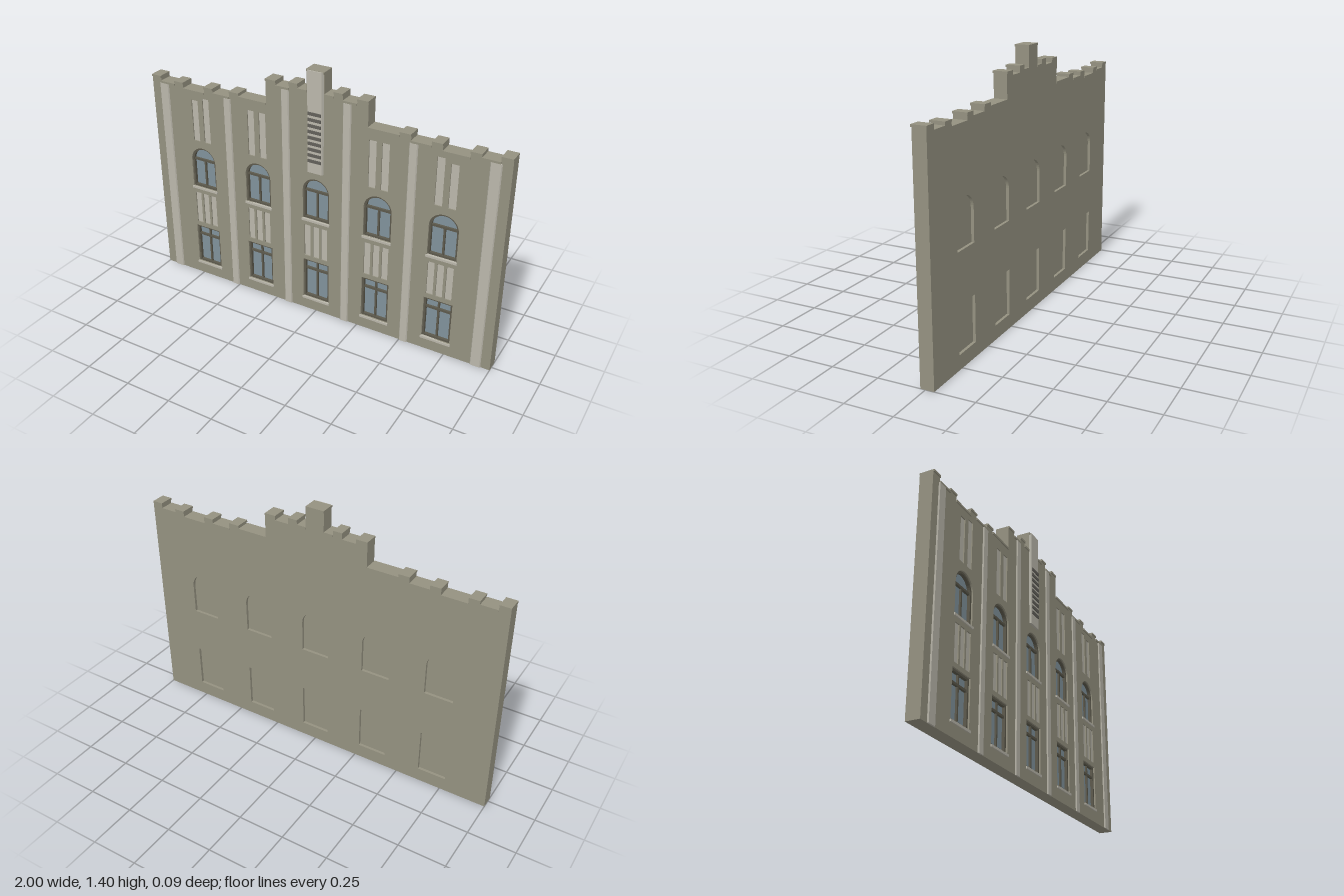
import * as THREE from 'three';

const mat = (name, color) => {
  const m = new THREE.MeshStandardMaterial({ color });
  m.name = name;
  return m;
};

export function createModel() {
  const root = new THREE.Group();
  root.name = 'facade';
  const wall = mat('olive wall', 0x949180);
  const light = mat('pale stone', 0xbab7ab);
  const glass = mat('blue grey glass', 0x7f919b);
  const frame = mat('dark frame', 0x5c594c);
  const slat = mat('slat grey', 0x62605a);

  const BACK = -0.045, MID = 0.017, FRONT = 0.026;

  const add = (name, geo, m, parent = root) => {
    const mesh = new THREE.Mesh(geo, m);
    mesh.name = name;
    parent.add(mesh);
    return mesh;
  };
  // box given by its extents
  const box = (name, x0, x1, y0, y1, z0, z1, m, parent) => {
    const g = new THREE.BoxGeometry(x1 - x0, y1 - y0, z1 - z0);
    g.translate((x0 + x1) / 2, (y0 + y1) / 2, (z0 + z1) / 2);
    return add(name, g, m, parent);
  };
  // flat outline extruded between two depths
  const slab = (name, shape, z0, z1, m, parent) => {
    const g = new THREE.ExtrudeGeometry(shape, { depth: z1 - z0, bevelEnabled: false, curveSegments: 10 });
    g.translate(0, 0, z0);
    return add(name, g, m, parent);
  };
  // upright strip with splayed sides
  const strip = (name, x, y0, y1, half, flare, z0, z1, m) => {
    const s = new THREE.Shape([[-half - flare, z0], [half + flare, z0], [half, z1], [-half, z1]]
      .map(([a, z]) => new THREE.Vector2(a, -z)));
    const g = new THREE.ExtrudeGeometry(s, { depth: y1 - y0, bevelEnabled: false });
    g.rotateX(-Math.PI / 2).translate(x, y0, 0);
    return add(name, g, m);
  };
  // rectangular or round-headed opening
  const opening = (C, x, y0, y1, half, arched) => {
    const s = new C();
    s.moveTo(x - half, y0);
    s.lineTo(x + half, y0);
    if (arched) {
      s.lineTo(x + half, y1 - half);
      s.absarc(x, y1 - half, half, 0, Math.PI, false);
    } else {
      s.lineTo(x + half, y1);
      s.lineTo(x - half, y1);
    }
    s.closePath();
    return s;
  };

  // Stepped skyline, right half: [outer x, top y], going outwards
  const steps = [[0.05, 1.395], [0.1, 1.285], [0.15, 1.308], [0.225, 1.275], [0.285, 1.298],
    [0.45, 1.167], [0.508, 1.183], [0.612, 1.152], [0.667, 1.174], [0.8, 1.14],
    [0.855, 1.17], [0.943, 1.153], [1, 1.18]];
  const half = [];
  steps.forEach(([x, y], i) => half.push([i ? steps[i - 1][0] : 0, y], [x, y]));
  half.push([1, 0]);
  const skyline = half.slice(1).map(([x, y]) => new THREE.Vector2(x, y));
  const outline = [...skyline, ...skyline.map((p) => new THREE.Vector2(-p.x, p.y)).reverse()];

  // Openings and sunken panels
  const bays = [-0.7, -0.35, 0, 0.35, 0.7];
  const windows = bays.flatMap((x) => [
    { x, y0: 0.075, y1: 0.315, arched: false },
    { x, y0: 0.568, y1: 0.81, arched: true }]);
  const HW = 0.077;
  const panels = bays.flatMap((x) => [-0.05, 0, 0.05].map((d) => [x + d, 0.018, 0.34, 0.53]));
  for (const s of [-1, 1]) {
    panels.push([s * 0.313, 0.02, 0.85, 1.105], [s * 0.382, 0.02, 0.85, 1.105],
      [s * 0.663, 0.02, 0.85, 1.105], [s * 0.733, 0.02, 0.85, 1.085]);
  }

  // Wall in two layers, the front one also pierced for the panels
  const windowHoles = () => windows.map((w) => opening(THREE.Path, w.x, w.y0, w.y1, HW, w.arched));
  const rear = new THREE.Shape(outline);
  rear.holes = windowHoles();
  slab('wall', rear, BACK, MID, wall);
  const face = new THREE.Shape(outline);
  face.holes = [...windowHoles(), ...panels.map(([x, h, y0, y1]) => opening(THREE.Path, x, y0, y1, h, false))];
  slab('wallFace', face, MID, FRONT, wall);
  for (const [x, h, y0, y1] of panels) box('sunkenPanel', x - h, x + h, y0, y1, MID - 0.002, 0.02, light);

  // Coping over every step
  steps.forEach(([x1, y], i) => {
    const x0 = i ? steps[i - 1][0] : -x1;
    for (const s of i ? [-1, 1] : [1]) {
      box('coping', Math.min(s * x0, s * x1), Math.max(s * x0, s * x1), y - 0.01, y + 0.001, BACK - 0.001, 0.031, wall);
    }
  });

  // Pilasters
  for (const s of [-1, 1]) {
    strip('pilaster', s * 0.923, 0, 1.143, 0.024, 0.006, FRONT - 0.002, 0.032, light);
    strip('pilaster', s * 0.523, 0, 1.142, 0.018, 0.006, FRONT - 0.002, 0.032, light);
    strip('pilaster', s * 0.173, 0, 1.265, 0.018, 0.006, FRONT - 0.002, 0.032, light);
  }

  // Central tower face with slats
  strip('towerFace', 0, 0.85, 1.394, 0.04, 0.007, FRONT - 0.002, 0.037, light);
  for (let i = 0; i < 9; i++) {
    const y = 0.917 + i * 0.032;
    box('slat', -0.037, 0.037, y - 0.008, y + 0.008, 0.035, 0.042, slat);
  }

  // Windows
  for (const { x, y0, y1, arched } of windows) {
    const g = new THREE.Group();
    g.name = arched ? 'archedWindow' : 'squareWindow';
    root.add(g);
    slab('backing', opening(THREE.Shape, x, y0, y1, HW, arched), -0.03, -0.002, wall, g);
    slab('glass', opening(THREE.Shape, x, y0, y1, HW, arched), -0.002, 0.002, glass, g);
    const ring = opening(THREE.Shape, x, y0, y1, HW, arched);
    ring.holes.push(opening(THREE.Path, x, y0 + 0.011, y1 - 0.011, HW - 0.011, arched));
    slab('frame', ring, 0.001, 0.018, frame, g);
    const bar = arched ? y1 - HW : 0.255;
    box('transom', x - HW + 0.008, x + HW - 0.008, bar - 0.006, bar + 0.006, 0.001, 0.014, frame, g);
    box('mullion', x - 0.005, x + 0.005, y0 + 0.005, arched ? bar : y1 - 0.005, 0.001, 0.012, frame, g);
    box('sill', x - 0.082, x + 0.082, y0 - 0.012, y0, 0.01, 0.032, light, g);
  }
  return root;
}
